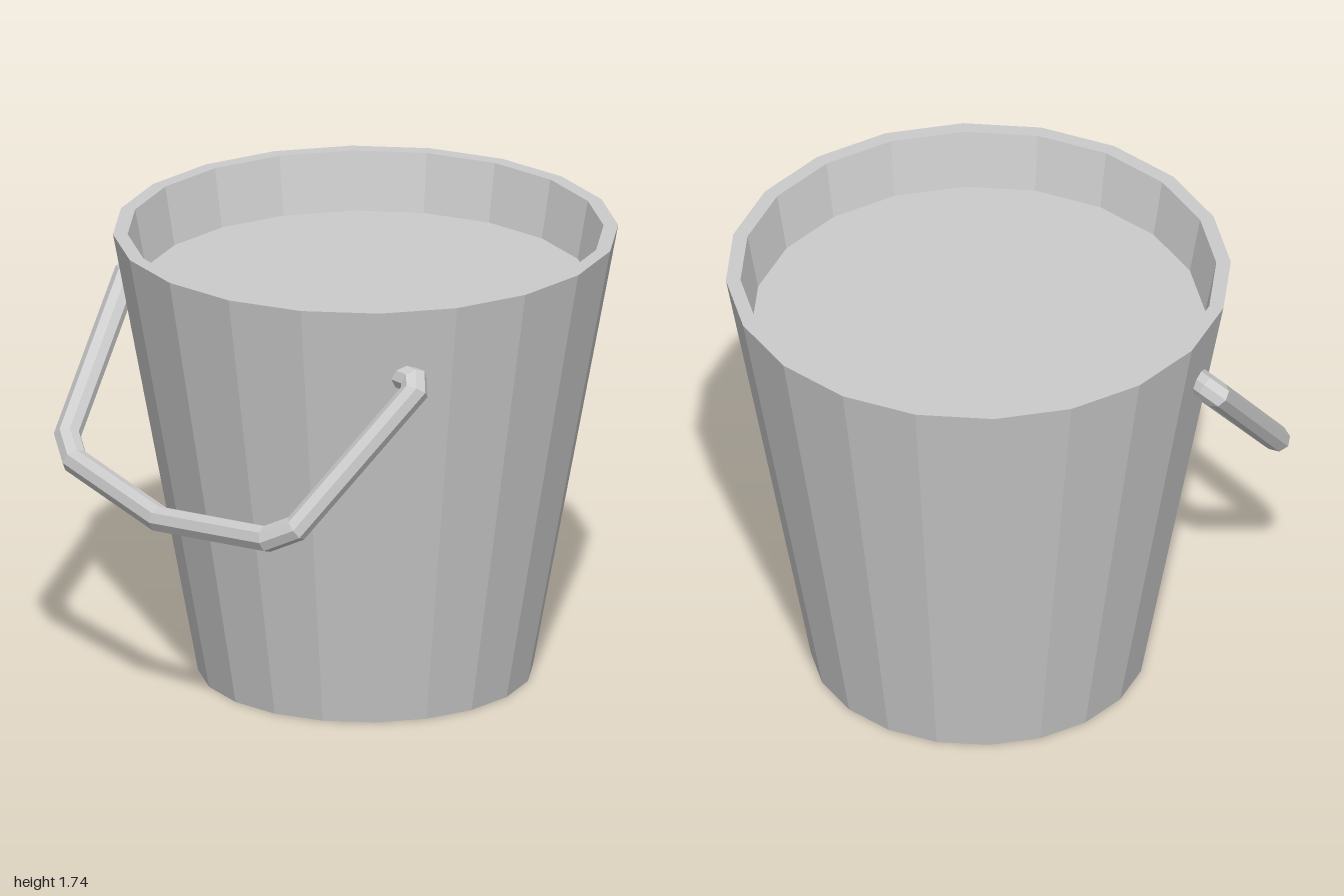
import * as THREE from 'three';

const SIDES = 20;

// Sweeps a mitred polygonal rod along a flat path of [x, y] points
function rodGeometry(path, radius, sides) {
  const pts = path.map(([x, y]) => new THREE.Vector2(x, y));
  const pos = [], index = [];
  pts.forEach((p, i) => {
    const before = p.clone().sub(pts[Math.max(i - 1, 0)]).normalize();
    const after = pts[Math.min(i + 1, pts.length - 1)].clone().sub(p).normalize();
    const t = before.clone().add(after).normalize();
    const dir = i === 0 ? after : before;
    const stretch = radius / t.dot(dir);
    for (let j = 0; j < sides; j++) {
      const a = (j / sides) * Math.PI * 2;
      const m = Math.cos(a) * stretch;
      pos.push(p.x - t.y * m, p.y + t.x * m, Math.sin(a) * radius);
    }
  });
  for (let i = 0; i < pts.length - 1; i++) {
    for (let j = 0; j < sides; j++) {
      const a = i * sides + j, b = i * sides + ((j + 1) % sides);
      index.push(a, b, a + sides, b, b + sides, a + sides);
    }
  }
  // End caps
  const last = (pts.length - 1) * sides;
  for (let j = 1; j < sides - 1; j++) {
    index.push(0, j + 1, j, last, last + j, last + j + 1);
  }
  const geo = new THREE.BufferGeometry();
  geo.setAttribute('position', new THREE.Float32BufferAttribute(pos, 3));
  geo.setIndex(index);
  geo.computeVertexNormals();
  return geo;
}

export function createModel() {
  const model = new THREE.Group();
  model.name = 'bucket';
  const material = new THREE.MeshStandardMaterial({ color: 0xcccccc, flatShading: true });

  const add = (name, geometry) => {
    const mesh = new THREE.Mesh(geometry, material);
    mesh.name = name;
    model.add(mesh);
    return mesh;
  };

  // Tapered wall with base, flat rim and inner face
  const profile = [[0, 0], [0.63, 0], [0.95, 1.74], [0.895, 1.74], [0.854, 1.515]]
    .map(([r, y]) => new THREE.Vector2(r, y));
  add('pail', new THREE.LatheGeometry(profile, SIDES)).position.z = -0.05;

  // Level surface of the contents
  const contents = add('contents', new THREE.CircleGeometry(0.854, SIDES).rotateX(-Math.PI / 2));
  contents.position.set(0, 1.515, -0.05);

  // Carrying handle, hanging forward from pivots in the wall
  const half = [[0.73, 0], [0.82, 0], [0.855, 0.04], [0.68, 0.695], [0.57, 0.775]];
  const path = [...half, [0, 0.86], ...half.map(([x, s]) => [-x, s]).reverse()];
  const handle = add('handle', rodGeometry(path, 0.05, 8));
  handle.position.set(0, 1.46, 0.385);
  handle.rotation.x = 2.427;

  return model;
}
